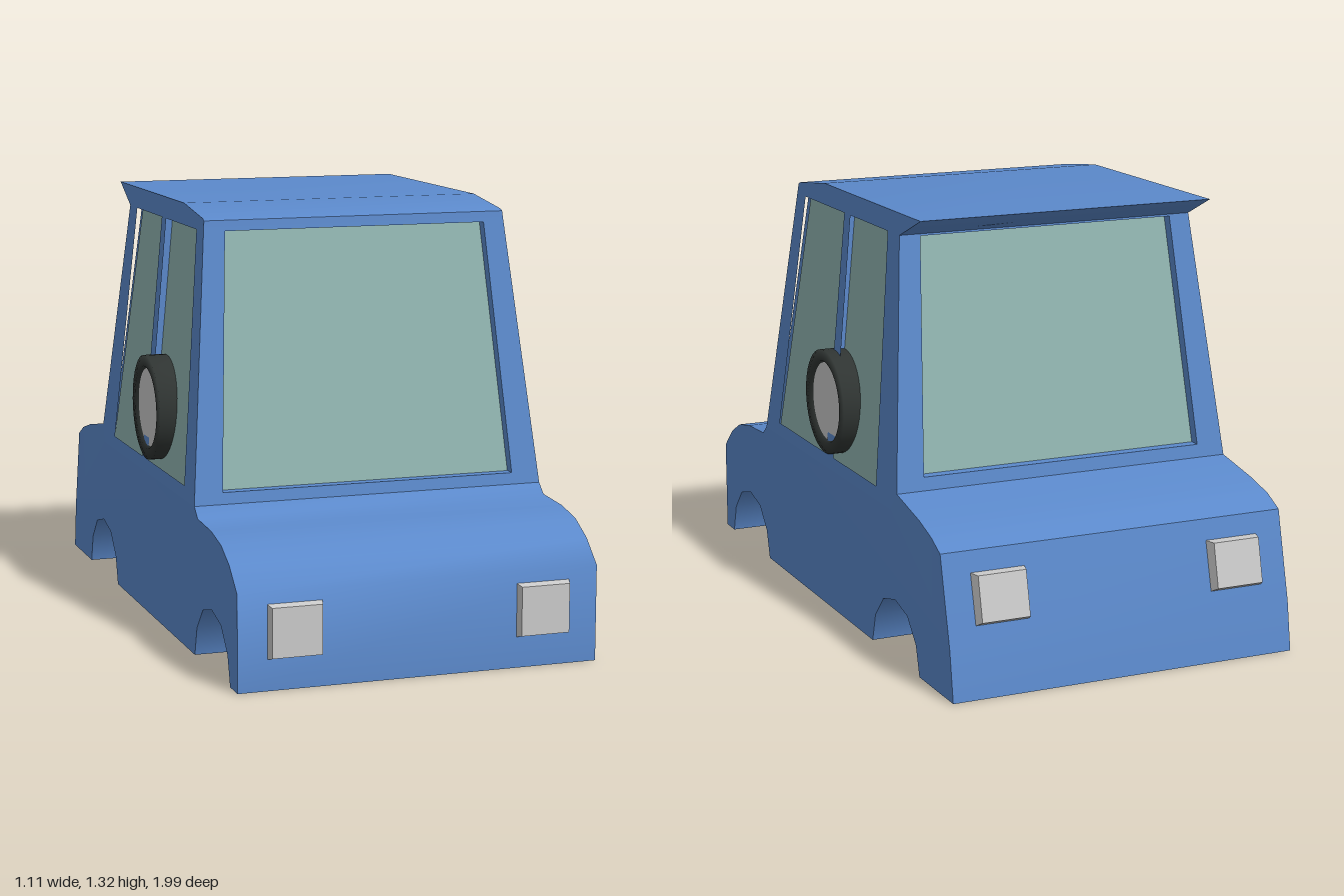
import * as THREE from 'three';
import { toCreasedNormals } from 'three/addons/utils/BufferGeometryUtils.js';

const mat = (name, color) => new THREE.MeshStandardMaterial({ name, color });

// Cabin tapers: half width, front plane and back plane by height
const halfWidth = y => 0.555 - Math.max(0, y - 0.455) * 0.092;
const frontZ = y => 0.545 - (y - 0.455) * 0.1687;
const backZ = y => -0.575 + (y - 0.51) * 0.1745;
const WALL = 0.04, RECESS = 0.035;

const toShape = (pts, holes = []) => {
  const s = new THREE.Shape(pts.map(p => new THREE.Vector2(...p)));
  for (const h of holes) s.holes.push(new THREE.Path(h.map(p => new THREE.Vector2(...p))));
  return s;
};

// Move every vertex by a rule, then rebuild normals with sharp edges kept
function bend(geo, rule) {
  const p = geo.attributes.position, v = new THREE.Vector3();
  for (let i = 0; i < p.count; i++) {
    v.fromBufferAttribute(p, i);
    rule(v);
    p.setXYZ(i, v.x, v.y, v.z);
  }
  return toCreasedNormals(geo, 0.85);
}

// Extrude a [z, y] side profile along x (0..depth), then apply a rule
function sideExtrude(pts, holes, depth, rule) {
  const flip = a => a.map(([z, y]) => [-z, y]);
  const geo = new THREE.ExtrudeGeometry(toShape(flip(pts), holes.map(flip)), { depth, bevelEnabled: false });
  return bend(geo.rotateY(Math.PI / 2), rule);
}
const fullWidth = inset => v => { v.x = (2 * v.x - 1) * (halfWidth(v.y) - inset); };

export function createModel() {
  const car = new THREE.Group();
  car.name = 'car';
  const blue = mat('bodyBlue', 0x5b89cb);
  const green = mat('glassGreen', 0x91b5b1);
  const grey = mat('lightGrey', 0xcacaca);
  const black = mat('tyreBlack', 0x303533);
  const add = (name, geo, material, parent = car) => {
    const m = new THREE.Mesh(geo, material);
    m.name = name;
    parent.add(m);
    return m;
  };

  // Lower body with open wheel arches
  const arch = c => [[-0.182, 0], [-0.157, 0.09], [-0.092, 0.16], [0, 0.183], [0.092, 0.16], [0.157, 0.09], [0.182, 0]]
    .map(([z, y]) => [c + z, y]);
  add('lowerBody', sideExtrude([
    [-0.995, 0], ...arch(-0.567), ...arch(0.72), [0.975, 0],
    [0.975, 0.29], [0.9, 0.357], [0.82, 0.398], [0.72, 0.418], [0.58, 0.425], [0.545, 0.455],
    [-0.53, 0.455], [-0.575, 0.51], [-0.75, 0.477], [-0.84, 0.452], [-0.905, 0.42], [-0.972, 0.15],
  ], [], 1, fullWidth(0)), blue);

  // Side walls with two window openings each
  const sidePts = [[0.545, 0.455], [frontZ(1.28), 1.28], [backZ(1.28), 1.28], [-0.575, 0.51], [-0.53, 0.455]];
  const sideHoles = [
    [[0.425, 0.495], [0.335, 1.255], [-0.004, 1.255], [0, 0.495]],
    [[-0.062, 0.495], [-0.055, 1.255], [-0.355, 1.255], [-0.415, 0.495]],
  ];
  add('leftCabinWall', sideExtrude(sidePts, sideHoles, WALL, v => { v.x += halfWidth(v.y) - WALL; }), blue);
  add('rightCabinWall', sideExtrude(sidePts, sideHoles, WALL, v => { v.x -= halfWidth(v.y); }), blue);

  // Front and back frames, each with one opening
  const frame = (y0, y1, w0, h0, w1, h1, shift) => {
    const a = halfWidth(y0) - WALL, b = halfWidth(y1) - WALL;
    const shape = toShape([[-a, y0], [a, y0], [b, y1], [-b, y1]], [[[-w0, h0], [-w1, h1], [w1, h1], [w0, h0]]]);
    return bend(new THREE.ExtrudeGeometry(shape, { depth: WALL, bevelEnabled: false }), v => { v.z += shift(v.y); });
  };
  add('windshieldFrame', frame(0.455, 1.28, 0.465, 0.49, 0.415, 1.255, y => frontZ(y) - WALL), blue);
  add('rearWindowFrame', frame(0.49, 1.28, 0.46, 0.55, 0.415, 1.25, backZ), blue);

  // Recessed glass behind all openings
  add('windows', sideExtrude([
    [frontZ(0.45) - RECESS, 0.45], [frontZ(1.27) - RECESS, 1.27],
    [backZ(1.27) + RECESS, 1.27], [backZ(0.45) + RECESS, 0.45],
  ], [], 1, fullWidth(RECESS)), green);

  // Roof with rear lip
  add('roof', sideExtrude([
    [0.408, 1.268], [0.405, 1.287], [0.39, 1.293], [0.18, 1.32], [-0.59, 1.32], [-0.445, 1.256], [-0.4, 1.268],
  ], [], 1, fullWidth(0)), blue);

  // Lamps: boxes with a smaller outer face
  const lampGeo = bend(new THREE.BoxGeometry(0.18, 0.176, 0.05).toNonIndexed(), v => {
    if (v.z > 0) { v.x *= 0.84; v.y *= 0.84; }
  });
  for (const s of [1, -1]) {
    add('headlight', lampGeo, grey).position.set(s * 0.383, 0.174, 0.974);
    const tail = add('tailLight', lampGeo, grey);
    tail.position.set(s * 0.383, 0.285, -0.945);
    tail.rotation.set(-0.23, Math.PI, 0, 'YXZ');
    tail.scale.set(1, 0.92, 1);
  }

  // Wheels, one on each side of the cabin
  const tyre = new THREE.LatheGeometry(
    [[0.12, 0], [0.165, 0], [0.165, 0.125], [0.13, 0.127], [0.12, 0.11]].map(p => new THREE.Vector2(...p)), 40);
  const hub = new THREE.CylinderGeometry(0.124, 0.124, 0.1, 40);
  for (const s of [1, -1]) {
    const wheel = new THREE.Group();
    wheel.name = s > 0 ? 'leftWheel' : 'rightWheel';
    add('tyre', tyre, black, wheel);
    add('hub', hub, grey, wheel).position.y = 0.066;
    wheel.rotation.z = -s * Math.PI / 2;
    wheel.position.set(s * 0.429, 0.662, 0);
    car.add(wheel);
  }
  return car;
}
